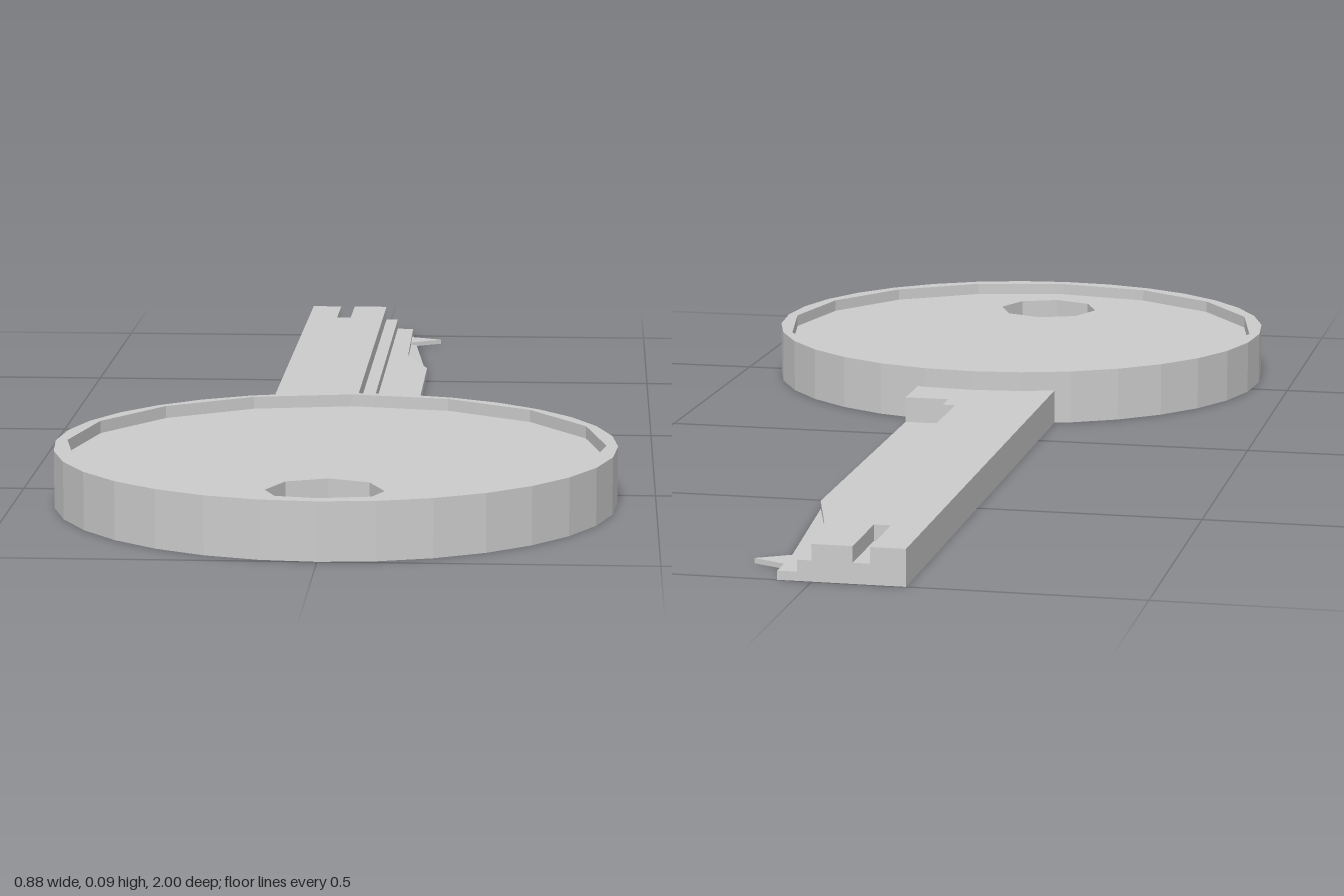
import * as THREE from 'three';

const material = new THREE.MeshStandardMaterial({ color: 0xcccccc, flatShading: true });

// Plan outlines are [x, z] points; shape y is -z so that extrusion runs upward.
const toPoints = (plan) => plan.map(([x, z]) => new THREE.Vector2(x, -z));

function polygon(cx, cz, radius, sides) {
  return Array.from({ length: sides }, (_, i) => {
    const a = (i / sides) * Math.PI * 2;
    return [cx + radius * Math.sin(a), cz + radius * Math.cos(a)];
  });
}

function layer(name, plan, y0, y1, hole) {
  const shape = new THREE.Shape(toPoints(plan));
  if (hole) shape.holes.push(new THREE.Path(toPoints(hole)));
  const geometry = new THREE.ExtrudeGeometry(shape, { depth: y1 - y0, bevelEnabled: false });
  geometry.rotateX(-Math.PI / 2).translate(0, y0, 0);
  const mesh = new THREE.Mesh(geometry, material);
  mesh.name = name;
  return mesh;
}

export function createModel() {
  const model = new THREE.Group();
  model.name = 'key';

  // Round head: pierced disc with a raised rim
  const head = new THREE.Group();
  head.name = 'head';
  const outer = polygon(0, 0.56, 0.44, 32);
  head.add(
    layer('headDisc', outer, 0, 0.07, polygon(0, 0.825, 0.09, 8)),
    layer('headRim', outer, 0.07, 0.09, polygon(0, 0.555, 0.422, 16)),
  );

  // Blade: three stacked layers that step down toward the cut edge
  const blade = new THREE.Group();
  blade.name = 'blade';
  const left = -0.142, right = 0.097, root = 0.2, step = 0.035, tip = -1;
  const shoulder = [[left, root], [right, root], [right, step], [0.022, step]];
  blade.add(
    layer('bladeBase', [
      [left, root], [right, root], [right, -0.56], [0.056, -0.7], [0.052, tip], [left, tip],
    ], 0, 0.014),
    layer('bladeStep', [...shoulder, [0.022, tip], [left, tip]], 0.014, 0.032),
    // The top layer has a slot open at the tip
    layer('bladeSpine', [
      ...shoulder, [0.022, -0.01], [0, -0.01], [0, tip],
      [-0.062, tip], [-0.062, -0.865], [-0.088, -0.865], [-0.088, tip], [left, tip],
    ], 0.032, 0.057),
    layer('bladeTooth', [[0.05, -0.94], [0.05, -0.875], [0.11, -0.912]], 0, 0.008),
  );

  // Thin one-sided web along the cut edge
  const web = new THREE.BufferGeometry();
  web.setAttribute('position', new THREE.Float32BufferAttribute([
    right, 0.001, -0.56, 0.052, 0.001, tip, 0.056, 0.008, -0.7,
  ], 3));
  web.computeVertexNormals();
  const webMesh = new THREE.Mesh(web, material);
  webMesh.name = 'cutEdgeWeb';
  blade.add(webMesh);

  model.add(head, blade);
  return model;
}
